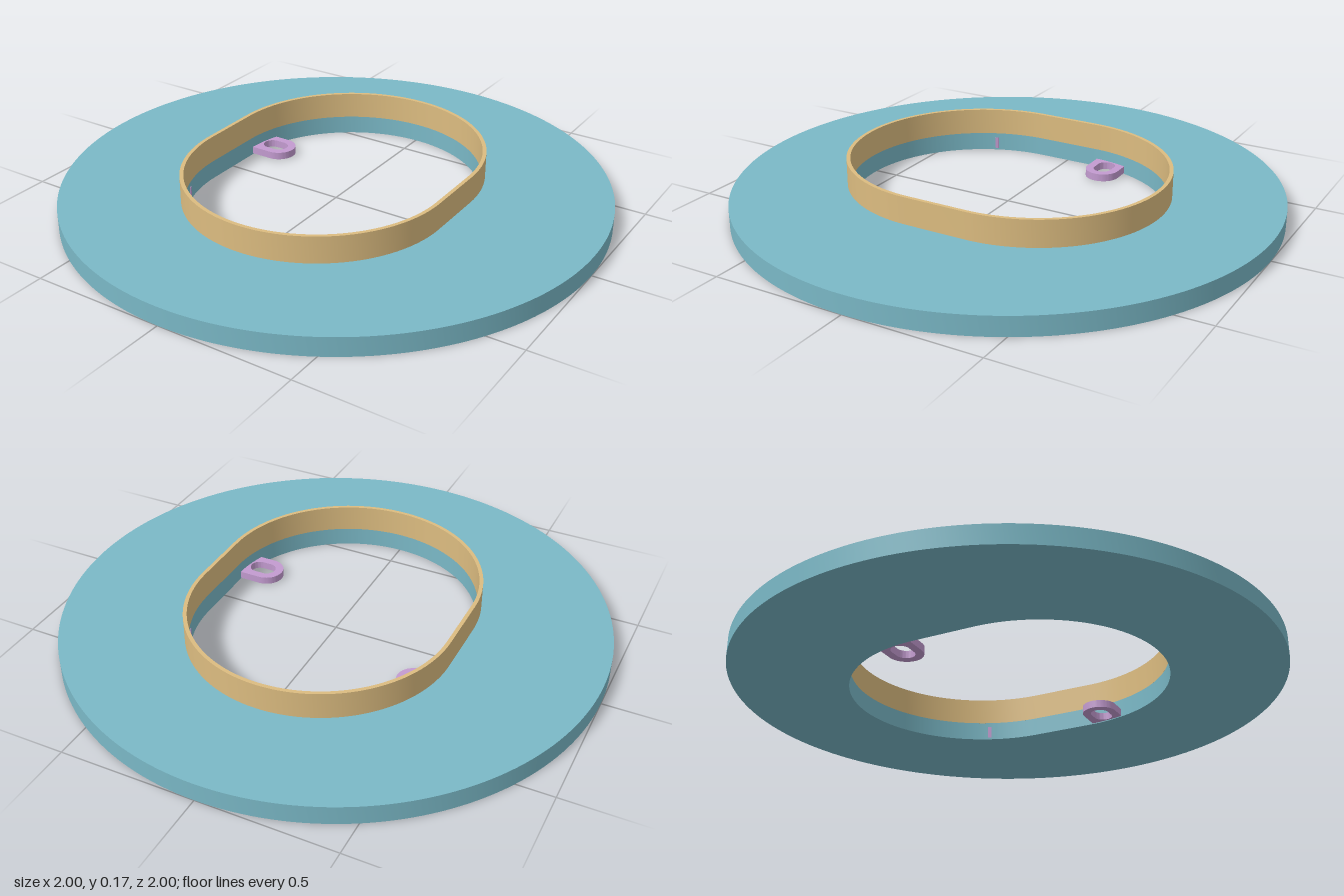
import * as THREE from 'three';
import { toCreasedNormals } from 'three/addons/utils/BufferGeometryUtils.js';

const STRAIGHT = 0.115; // half length of the straight sides of the opening
const R_IN = 0.476, R_OUT = 0.49;
const DISC_H = 0.07, COLLAR_TOP = 0.17;

// Oblong outline, long along the plan's second axis
function oblong(path, r, half) {
  path.absarc(0, half, r, 0, Math.PI, false);
  path.absarc(0, -half, r, Math.PI, Math.PI * 2, false);
  path.closePath();
  return path;
}

// Extrude a plan shape upward from y0 to y1
function slab(name, shape, y0, y1, material, curveSegments) {
  const geo = new THREE.ExtrudeGeometry(shape, { depth: y1 - y0, bevelEnabled: false, curveSegments });
  geo.rotateX(-Math.PI / 2).translate(0, y0, 0);
  const mesh = new THREE.Mesh(toCreasedNormals(geo, 0.5), material);
  mesh.name = name;
  return mesh;
}

export function createModel() {
  const teal = new THREE.MeshStandardMaterial({ color: 0x7ab8c6 });
  teal.name = 'teal';
  const tan = new THREE.MeshStandardMaterial({ color: 0xdcbc80 });
  tan.name = 'tan';
  const mauve = new THREE.MeshStandardMaterial({ color: 0xc39bd0 });
  mauve.name = 'mauve';

  const model = new THREE.Group();
  model.name = 'flangedCollar';

  // Round flange with the oblong opening
  const disc = new THREE.Shape().absarc(0, 0, 1, 0, Math.PI * 2, false);
  disc.holes.push(oblong(new THREE.Path(), R_IN, STRAIGHT));
  model.add(slab('flange', disc, 0, DISC_H, teal, 96));

  // Thin upright collar around the opening
  const ring = oblong(new THREE.Shape(), R_OUT, STRAIGHT);
  ring.holes.push(oblong(new THREE.Path(), R_IN, STRAIGHT));
  model.add(slab('collar', ring, DISC_H, COLLAR_TOP, tan, 48));

  // Eyelet: rounded tab with a slot, running into the wall of the opening
  const z = 0.193, r = 0.064, hole = 0.034, tip = 0.33;
  const tab = new THREE.Shape();
  tab.moveTo(0.478, -z + r);
  tab.lineTo(tip + r, -z + r);
  tab.absarc(tip + r, -z, r, Math.PI / 2, Math.PI * 1.5, false);
  tab.lineTo(0.478, -z - r);
  tab.closePath();
  const slot = new THREE.Path();
  slot.absarc(tip + r, -z, hole, Math.PI / 2, Math.PI * 1.5, false);
  slot.absarc(0.428, -z, hole, -Math.PI / 2, Math.PI / 2, false);
  slot.closePath();
  tab.holes.push(slot);

  // The two sides are half a turn apart
  for (const [side, turn] of [['left', 0], ['right', Math.PI]]) {
    const half = new THREE.Group();
    half.name = side + 'Fittings';
    half.add(slab(side + 'Eyelet', tab, 0.003, 0.031, mauve, 16));

    // Small insert flush with the wall of the opening
    const insert = new THREE.Mesh(new THREE.BoxGeometry(0.008, 0.045, 0.014), mauve);
    insert.name = side + 'Insert';
    const a = 0.41;
    insert.position.set(Math.cos(a) * 0.478, 0.03, -STRAIGHT - Math.sin(a) * 0.478);
    insert.rotation.y = a;
    half.add(insert);

    half.rotation.y = turn;
    model.add(half);
  }
  return model;
}
